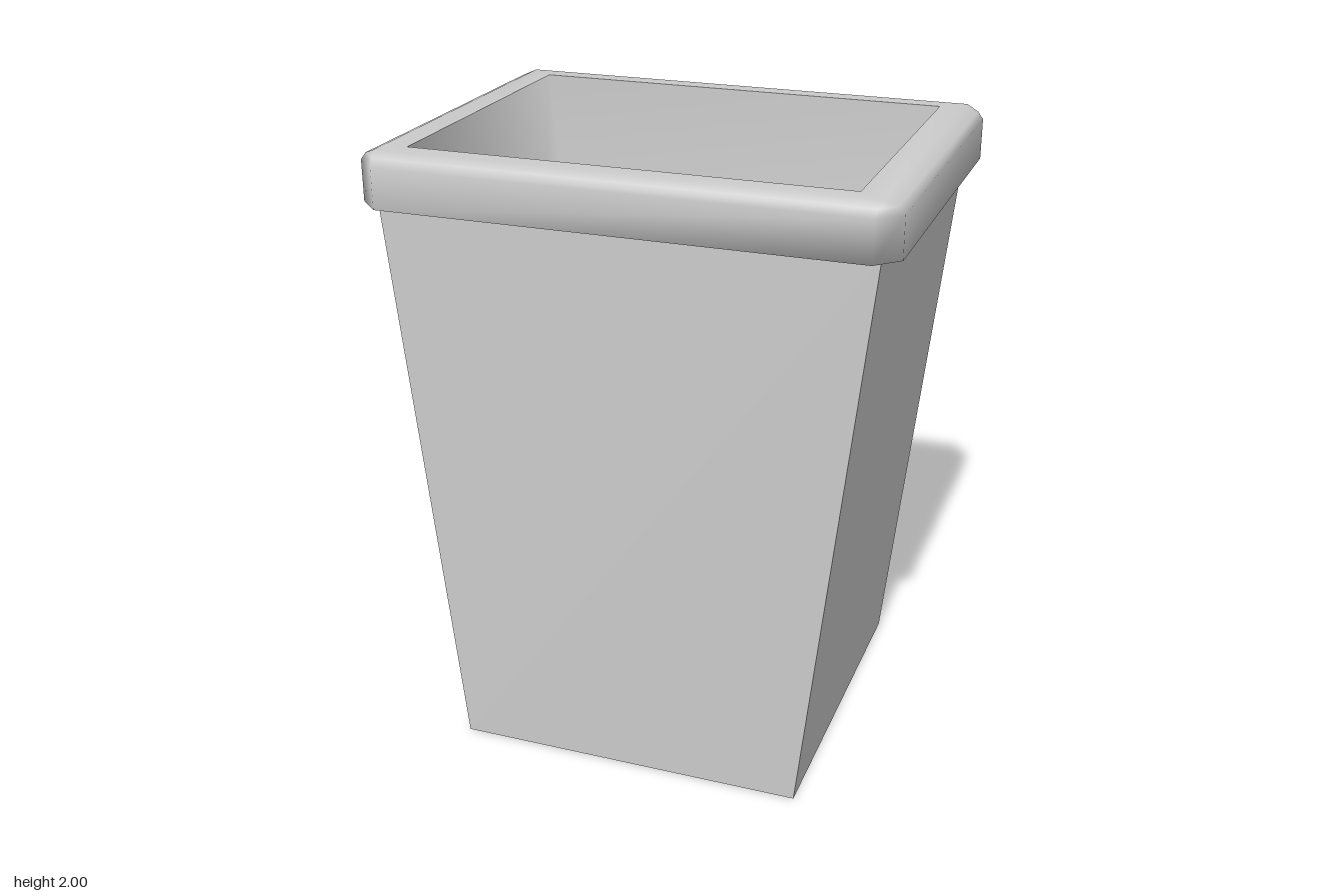
import * as THREE from 'three';
import { mergeVertices } from 'three/addons/utils/BufferGeometryUtils.js';

// Rectangle outline at height y with half sizes hx, hz and corners cut by c,
// running counterclockwise seen from above.
function ring(hx, hz, y, c = 0) {
  const points = [];
  [[1, -1], [-1, -1], [-1, 1], [1, 1]].forEach(([sx, sz], i) => {
    const pair = [
      [sx * hx, y, sz * (hz - c)],
      [sx * (hx - c), y, sz * hz],
    ];
    points.push(...(i % 2 ? pair.reverse() : pair));
  });
  return points;
}

// Skin between successive rings; coinciding corners are merged.
function loft(rings) {
  const n = rings[0].length;
  const index = [];
  for (let r = 0; r < rings.length - 1; r++) {
    for (let i = 0; i < n; i++) {
      const a = r * n + i;
      const b = r * n + (i + 1) % n;
      index.push(a, b, b + n, a, b + n, a + n);
    }
  }
  const geometry = new THREE.BufferGeometry();
  geometry.setAttribute('position', new THREE.Float32BufferAttribute(rings.flat(2), 3));
  geometry.setIndex(index);
  const merged = mergeVertices(geometry);
  merged.computeVertexNormals();
  return merged;
}

export function createModel() {
  const group = new THREE.Group();
  const add = (name, rings, flatShading = false) => {
    const material = new THREE.MeshStandardMaterial({ color: 0xcccccc, flatShading, side: THREE.DoubleSide });
    const mesh = new THREE.Mesh(loft(rings), material);
    mesh.name = name;
    group.add(mesh);
  };

  // Outer shell with its base, widening upward in x only
  add('body', [ring(0, 0, 0), ring(0.572, 0.572, 0), ring(0.772, 0.572, 1.83)], true);

  // Overhanging rounded lip with cut corners
  add('rim', [
    ring(0.772, 0.572, 1.83),
    ring(0.828, 0.628, 1.83, 0.07),
    ring(0.828, 0.628, 1.96, 0.07),
    ring(0.81, 0.61, 1.983, 0.05),
    ring(0.77, 0.58, 2),
    ring(0.692, 0.517, 2),
  ]);

  // Hollow inside, tapering to the floor
  add('innerWell', [ring(0.692, 0.517, 2), ring(0.43, 0.33, 0.1), ring(0, 0, 0.1)]);

  return group;
}
